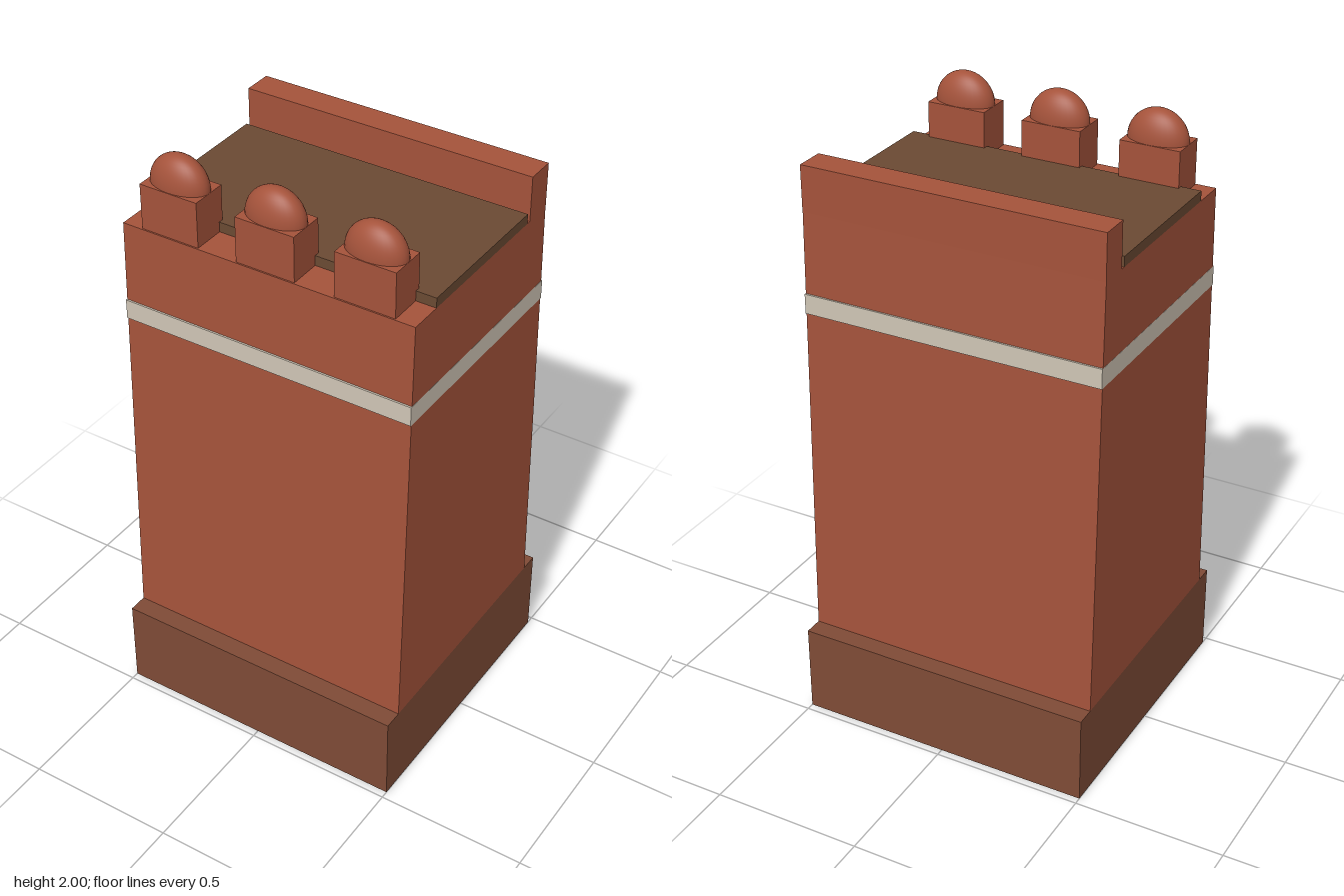
import * as THREE from 'three';

export function createModel() {
  const group = new THREE.Group();
  const brick = new THREE.MeshStandardMaterial({ name: 'brick red', color: 0xa5533b });
  const footing = new THREE.MeshStandardMaterial({ name: 'footing brown', color: 0x7f4b36 });
  const timber = new THREE.MeshStandardMaterial({ name: 'walkway brown', color: 0x6b4a33 });
  const plaster = new THREE.MeshStandardMaterial({ name: 'pale band', color: 0xd0c6b6 });

  const add = (name, geometry, material, x, y, z) => {
    const mesh = new THREE.Mesh(geometry, material);
    mesh.name = name;
    mesh.position.set(x, y, z);
    group.add(mesh);
    return mesh;
  };
  // Box given by its width and its y and z ranges
  const slab = (name, material, width, y0, y1, z0, z1, x = 0) =>
    add(name, new THREE.BoxGeometry(width, y1 - y0, z1 - z0), material, x, (y0 + y1) / 2, (z0 + z1) / 2);

  slab('base', footing, 1, 0, 0.3, -0.475, 0.475);

  // Wall body, tapering towards the top in depth only
  const profile = new THREE.Shape([[-0.412, 0.3], [0.412, 0.3], [0.374, 1.75], [-0.374, 1.75]]
    .map(([z, y]) => new THREE.Vector2(z, y)));
  const wall = new THREE.ExtrudeGeometry(profile, { depth: 1, bevelEnabled: false });
  wall.translate(0, 0, -0.5).rotateY(-Math.PI / 2);
  add('wall', wall, brick, 0, 0, 0);

  slab('band', plaster, 1.001, 1.42, 1.485, -0.387, 0.387);
  slab('walkway', timber, 1, 1.75, 1.783, -0.262, 0.262);
  slab('rearParapet', brick, 1, 1.75, 1.9, -0.375, -0.277);

  // Front merlons, each capped with a flattened dome
  for (const x of [-0.333, 0, 0.333]) {
    slab('merlon', brick, 0.2, 1.75, 1.9, 0.245, 0.369, x);
    const dome = new THREE.SphereGeometry(0.1, 32, 12, 0, Math.PI * 2, 0, Math.PI / 2);
    add('merlonDome', dome, brick, x, 1.9, 0.307).scale.z = 0.6;
  }
  return group;
}
